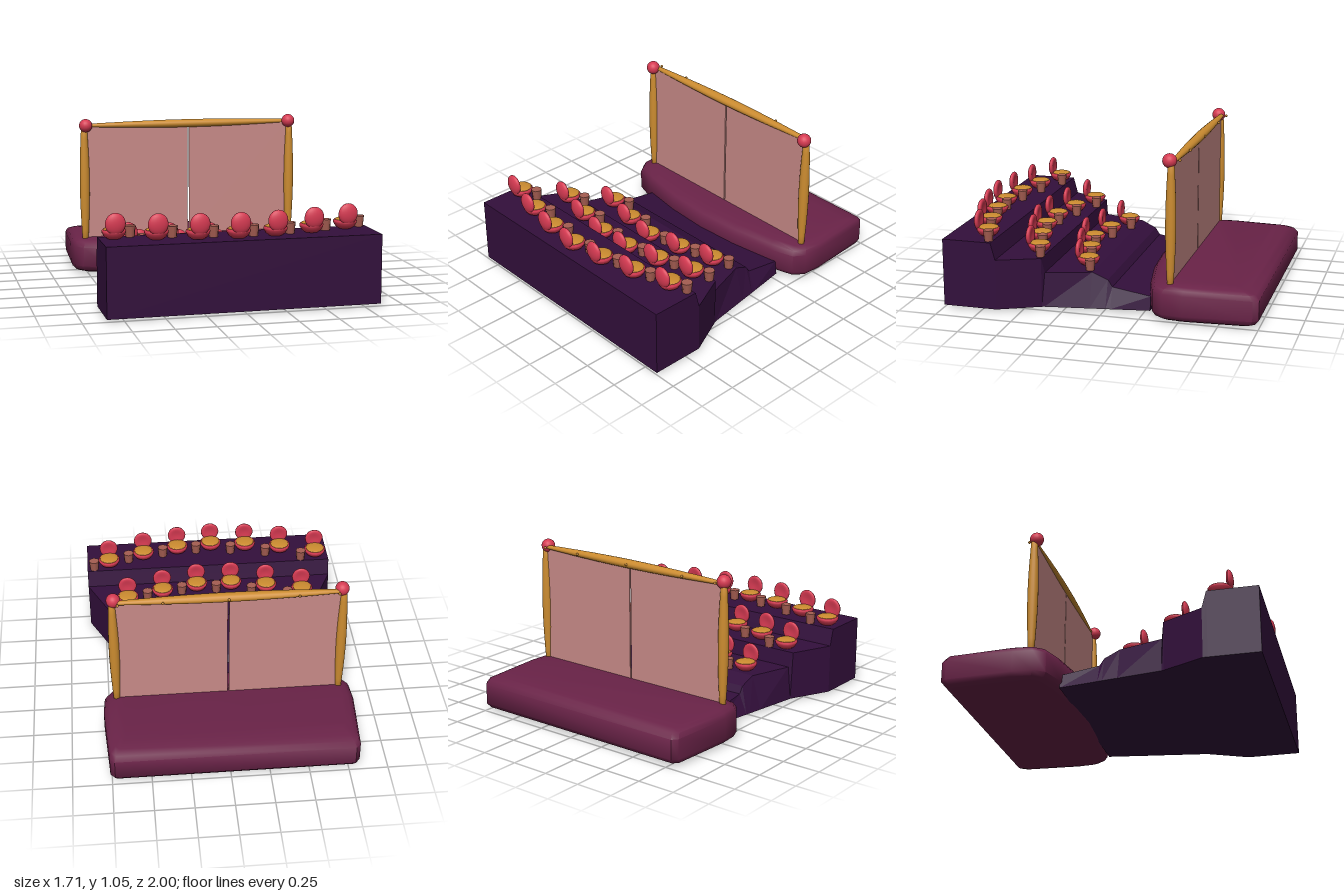
import * as THREE from 'three';
import { toCreasedNormals } from 'three/addons/utils/BufferGeometryUtils.js';

const mat = (name, color) => {
  const m = new THREE.MeshStandardMaterial({ color });
  m.name = name;
  return m;
};

// Closed solid through rings of points, capped at both ends
function loft(rings, crease) {
  const n = rings[0].length, last = (rings.length - 1) * n, idx = [];
  for (let r = 0; r < rings.length - 1; r++) {
    for (let i = 0; i < n; i++) {
      const a = r * n + i, b = r * n + (i + 1) % n;
      idx.push(a, a + n, b + n, a, b + n, b);
    }
  }
  for (let i = 1; i < n - 1; i++) {
    idx.push(0, i, i + 1, last, last + i + 1, last + i);
  }
  const g = new THREE.BufferGeometry();
  g.setAttribute('position', new THREE.Float32BufferAttribute(rings.flat(2), 3));
  g.setIndex(idx);
  const flat = g.toNonIndexed();
  flat.computeVertexNormals();
  return crease ? toCreasedNormals(flat, crease) : flat;
}

// Rod that swells in the middle, standing on y = 0
function barrel(length, rEnd, rMid) {
  const pts = [new THREE.Vector2(0, 0)];
  for (let i = 0; i <= 10; i++) {
    const t = i / 10;
    pts.push(new THREE.Vector2(rEnd + (rMid - rEnd) * Math.sin(Math.PI * t), length * t));
  }
  pts.push(new THREE.Vector2(0, length));
  return new THREE.LatheGeometry(pts, 16);
}

export function createModel() {
  const red = mat('seat red', 0xd63a52);
  const gold = mat('gold', 0xcc8c30);
  const purple = mat('dark purple', 0x330f3c);
  const plum = mat('stage plum', 0x6a2348);
  const pink = mat('screen pink', 0xc98b88);
  const clay = mat('cup clay', 0xa65e52);

  const model = new THREE.Group();
  const add = (parent, name, geo, material, x = 0, y = 0, z = 0) => {
    const mesh = new THREE.Mesh(geo, material);
    mesh.name = name;
    mesh.position.set(x, y, z);
    parent.add(mesh);
    return mesh;
  };

  // Stepped floor: z, top height, top half width, bottom half width
  const steps = [
    [1, 0.45, 0.855, 0.855], [0.68, 0.45, 0.855, 0.855], [0.65, 0.34, 0.855, 0.855],
    [0.39, 0.335, 0.73, 0.73], [0.375, 0.235, 0.705, 0.725], [0.09, 0.235, 0.615, 0.68],
    [-0.01, 0.19, 0.605, 0.665], [-0.04, 0.145, 0.605, 0.66], [-0.29, 0.105, 0.605, 0.62],
  ];
  add(model, 'steppedFloor', loft(steps.map(([z, y, t, b]) =>
    [[-b, 0.015, z], [b, 0.015, z], [t, y, z], [-t, y, z]])), purple);

  // Stage: half of the plan outline, mirrored and stacked with rounded rims
  const half = [[0.76, -1], [0.79, -0.965], [0.815, -0.53], [0.805, -0.4], [0.755, -0.33],
    [0.6, -0.28], [0.3, -0.225], [0, -0.205]];
  const plan = [...half, ...half.slice(0, -1).reverse().map(([x, z]) => [-x, z])];
  const levels = [[0, 0.9, 0.62], [0.01, 0.95, 0.82], [0.025, 0.985, 0.94], [0.055, 1, 1],
    [0.185, 1, 1], [0.215, 0.985, 0.94], [0.23, 0.95, 0.82], [0.24, 0.9, 0.62]];
  add(model, 'stage', loft(levels.map(([y, sx, sz]) =>
    plan.map(([x, z]) => [x * sx - 0.03, y, -0.6 + (z + 0.6) * sz])), 0.8), plum);

  // Screen frame, with two panels either side of a narrow gap
  const screen = new THREE.Group();
  screen.name = 'screen';
  model.add(screen);
  const post = barrel(0.78, 0.02, 0.034);
  const ball = new THREE.SphereGeometry(0.045, 20, 14);
  for (const [px, bx] of [[-0.755, -0.745], [0.695, 0.685]]) {
    add(screen, 'post', post, gold, px, 0.22, -0.437);
    add(screen, 'postBall', ball, red, bx, 1.008, -0.425);
  }
  const beam = add(screen, 'topBeam', barrel(1.44, 0.012, 0.028), gold, 0.69, 1.005, -0.448);
  beam.rotation.z = Math.PI / 2;
  beam.scale.z = 1.25;
  for (const x of [-0.72, -0.47, -0.03, 0.38, 0.66]) {
    add(screen, 'beamStud', new THREE.SphereGeometry(0.009, 8, 6), gold, x, 1.008, -0.483);
  }
  const panel = new THREE.BoxGeometry(0.7, 0.77, 0.01);
  add(screen, 'screenPanel', panel, pink, -0.385, 0.615, -0.44);
  add(screen, 'screenPanel', panel, pink, 0.325, 0.615, -0.44);

  // Seat parts
  const bowl = new THREE.LatheGeometry([[0, 0], [0.04, 0.002], [0.06, 0.016], [0.073, 0.038],
    [0.075, 0.05], [0.068, 0.058], [0, 0.058]].map(([r, y]) => new THREE.Vector2(r, y)), 18);
  const cushion = new THREE.SphereGeometry(0.064, 18, 10).scale(1, 0.2, 1);
  const back = new THREE.SphereGeometry(1, 18, 14);
  const p = back.attributes.position;
  for (let i = 0; i < p.count; i++) {
    // Dish the side the sitter leans on
    const r2 = p.getX(i) ** 2 + p.getY(i) ** 2;
    if (p.getZ(i) < 0) p.setZ(i, p.getZ(i) * (1 - 0.8 * (1 - r2)));
  }
  back.scale(0.063, 0.067, 0.027);
  back.computeVertexNormals();
  const cup = new THREE.CylinderGeometry(0.035, 0.028, 0.07, 8);

  // Curved rows of seats, each with a cup stand: floor height, then x and z
  const rows = [
    [0.45, [[-0.765, 0.75], [-0.52, 0.825], [-0.275, 0.875], [-0.03, 0.9], [0.21, 0.875], [0.455, 0.825], [0.7, 0.75]]],
    [0.336, [[-0.635, 0.45], [-0.39, 0.52], [-0.147, 0.57], [0.095, 0.57], [0.338, 0.52], [0.583, 0.45]]],
    [0.235, [[-0.51, 0.16], [-0.265, 0.225], [-0.025, 0.27], [0.22, 0.225], [0.465, 0.16]]],
  ];
  for (const [y, places] of rows) {
    for (const [x, z] of places) {
      const seat = new THREE.Group();
      seat.name = 'seat';
      seat.position.set(x, y, z);
      model.add(seat);
      add(seat, 'seatBowl', bowl, red);
      add(seat, 'cushion', cushion, gold, 0, 0.058, -0.003);
      add(seat, 'backrest', back, red, 0, 0.1, 0.058);
      add(seat, 'cupStand', cup, clay, 0.107, 0.035, -0.043);
    }
  }
  return model;
}
